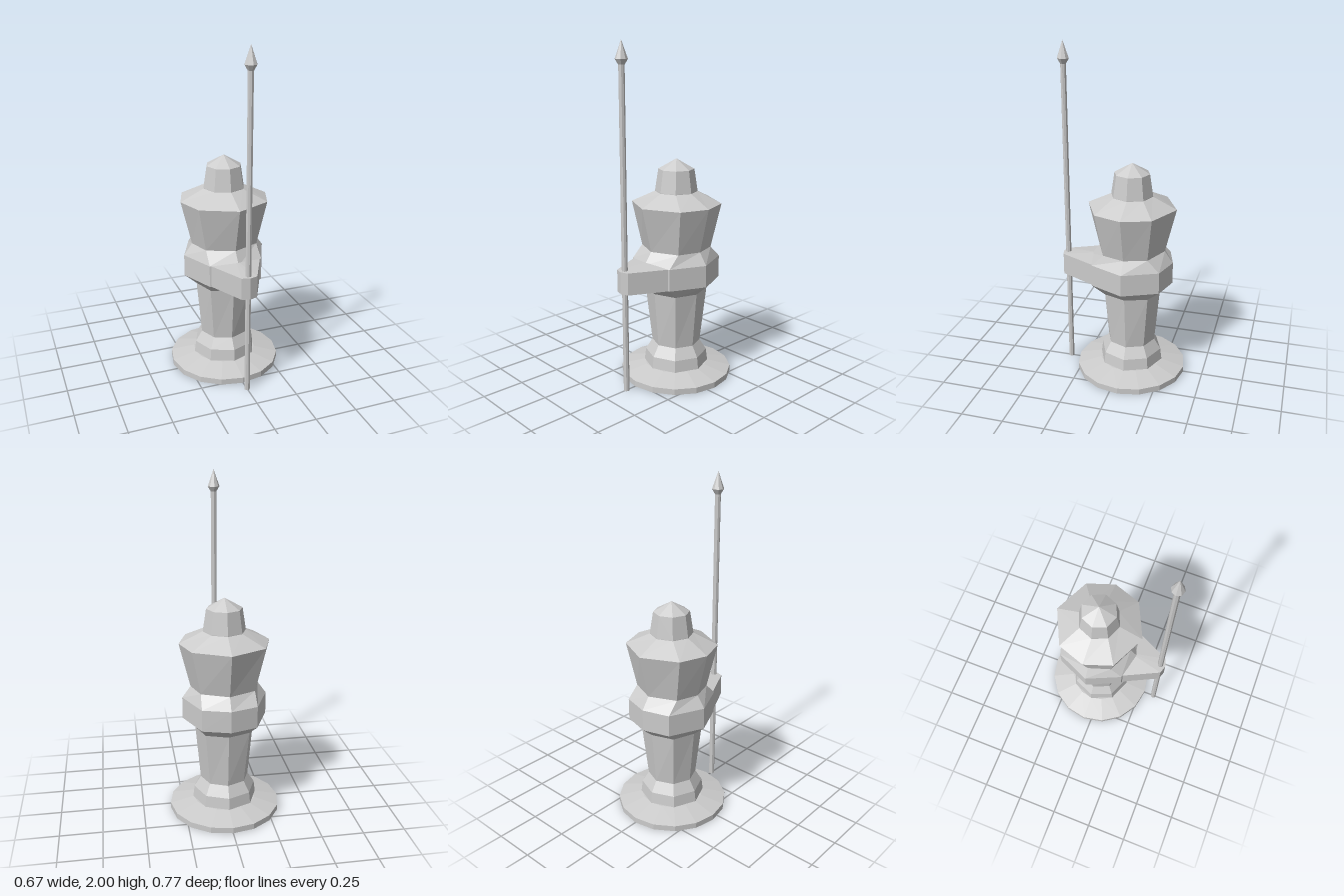
import * as THREE from 'three';

const material = new THREE.MeshStandardMaterial({ color: 0xcccccc, flatShading: true });

function addMesh(parent, name, geometry) {
  const mesh = new THREE.Mesh(geometry, material);
  mesh.name = name;
  parent.add(mesh);
  return mesh;
}

// Flat-sided shell from rings of equal point count, listed bottom to top.
function loft(rings) {
  const pos = [];
  const n = rings[0].length;
  const tri = (a, b, c) => pos.push(...a, ...b, ...c);
  for (let k = 0; k < rings.length - 1; k++) {
    for (let i = 0; i < n; i++) {
      const j = (i + 1) % n;
      const [a, b, c, d] = [rings[k][i], rings[k][j], rings[k + 1][j], rings[k + 1][i]];
      tri(a, b, c);
      tri(a, c, d);
    }
  }
  const geometry = new THREE.BufferGeometry();
  geometry.setAttribute('position', new THREE.Float32BufferAttribute(pos, 3));
  geometry.computeVertexNormals();
  return geometry;
}

// Eight-sided ring: radius on the axes, dx and dz place the diagonal corners.
function ring(y, r, dx = 0.707, dz = 0.707) {
  const x = r * dx, z = r * dz;
  return [[0, r], [x, z], [r, 0], [x, -z], [0, -r], [-x, -z], [-r, 0], [-x, z]]
    .map(([px, pz]) => [px, y, pz]);
}

// Faceted turned part around the y axis
function turned(points, sides) {
  return new THREE.LatheGeometry(points.map(([r, y]) => new THREE.Vector2(r, y)), sides);
}

export function createModel() {
  const model = new THREE.Group();
  const figure = new THREE.Group();
  figure.name = 'figure';
  figure.position.z = -0.05;
  model.add(figure);

  // Round stand with a gently sloped top
  addMesh(figure, 'base', turned([[0, 0], [0.333, 0], [0.333, 0.035], [0.19, 0.07], [0, 0.07]], 16));

  // Robe, belt and chest
  addMesh(figure, 'body', loft([
    ring(0.06, 0.195),
    ring(0.14, 0.185),
    ring(0.205, 0.145),
    ring(0.54, 0.175, 0.74, 0.74),
    ring(0.605, 0.25, 0.64, 0.81),
    ring(0.735, 0.25, 0.64, 0.81),
    ring(0.805, 0.2, 0.785, 0.66),
    ring(1.07, 0.265, 0.785, 0.625),
    ring(1.14, 0.12),
  ]));

  // Head with a pointed cap
  addMesh(figure, 'head', turned([[0.125, 1.13], [0.125, 1.14], [0.105, 1.27], [0, 1.33]], 8));

  // Arms meeting at the spear, with a slight ridge on top
  const outline = [[0, 0.43], [0.047, 0.415], [0.25, 0], [-0.25, 0], [-0.047, 0.415]];
  const at = (y) => outline.map(([x, z]) => [x, y, z]);
  const point = (y, z) => outline.map(() => [0, y, z]);
  addMesh(figure, 'arms', loft([point(0.605, 0.2), at(0.605), at(0.735), point(0.75, 0.2)]));

  // Spear
  const spear = new THREE.Group();
  spear.name = 'spear';
  spear.position.z = 0.348;
  model.add(spear);
  addMesh(spear, 'shaft', turned([[0, 0], [0.017, 0], [0.017, 1.88]], 8));
  addMesh(spear, 'spearTip', turned([[0.017, 1.87], [0.035, 1.9], [0, 2]], 8));

  return model;
}
